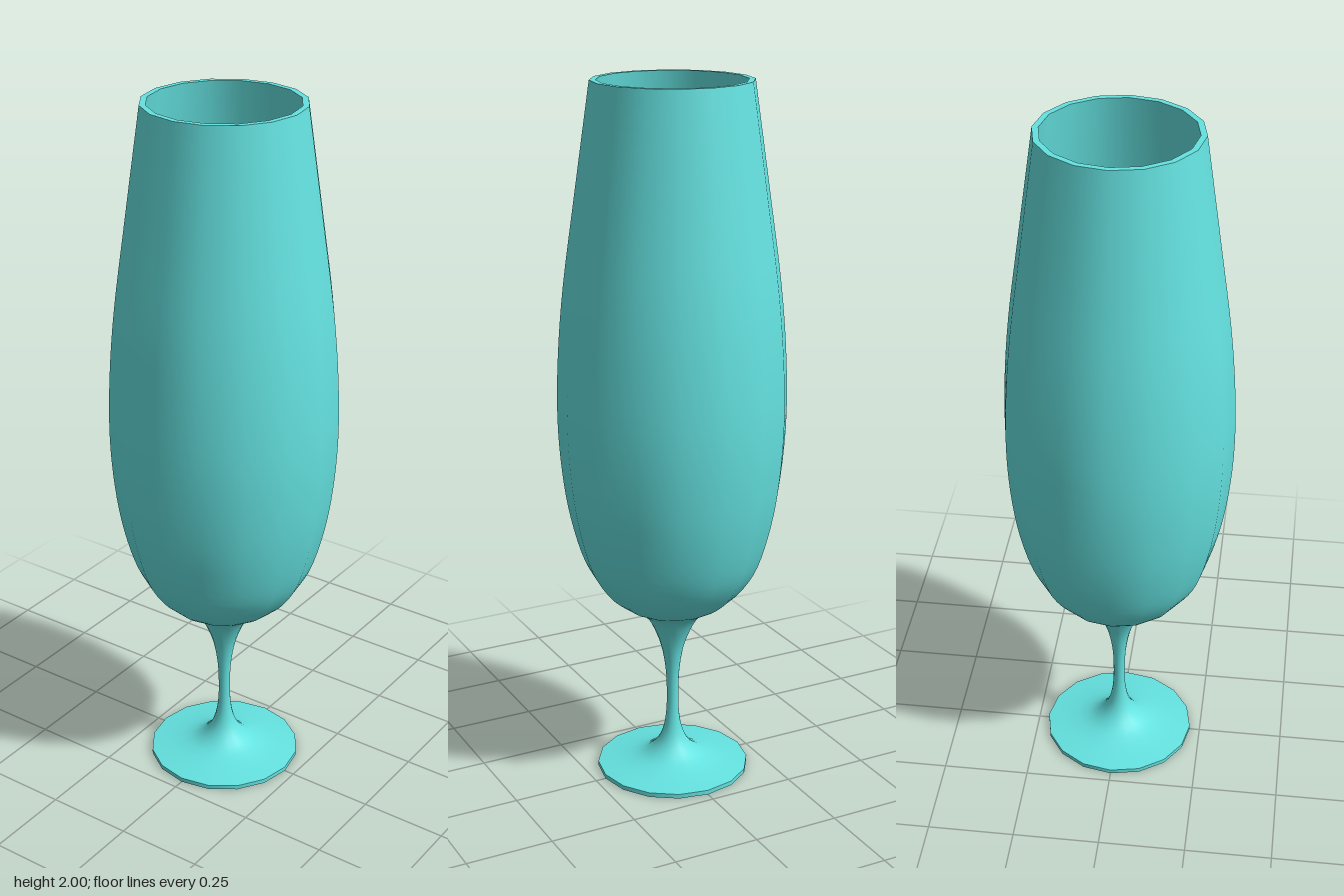
import * as THREE from 'three';

const SIDES = 16;

export function createModel() {
  const group = new THREE.Group();
  group.name = 'stemGlass';
  const glass = new THREE.MeshStandardMaterial({ color: 0x64e2e0 });
  glass.name = 'aqua glass';

  const points = (list) => list.map(([r, y]) => new THREE.Vector2(r, y));
  const curve = (list, n) => new THREE.SplineCurve(points(list)).getPoints(n);
  function turn(name, profile) {
    const mesh = new THREE.Mesh(new THREE.LatheGeometry(profile, SIDES), glass);
    mesh.name = name;
    group.add(mesh);
  }

  // Flat underside and thin edge of the foot
  turn('footBase', points([[0, 0], [0.22, 0]]));
  turn('footEdge', points([[0.22, 0], [0.22, 0.013]]));

  // One flowing outer surface: foot top, stem and bowl
  turn('footStemAndBowl', curve([
    [0.22, 0.013], [0.13, 0.026], [0.075, 0.047], [0.037, 0.09], [0.02, 0.155],
    [0.017, 0.24], [0.022, 0.32], [0.038, 0.395], [0.07, 0.465], [0.105, 0.497],
    [0.15, 0.522], [0.2, 0.568], [0.25, 0.65], [0.288, 0.78], [0.31, 0.92],
    [0.32, 1.08], [0.315, 1.26], [0.298, 1.45], [0.266, 1.68], [0.22, 2],
  ], 76));

  // Flat rim
  turn('rim', points([[0.22, 2], [0.203, 2]]));

  // Hollow inside, running from the rim down to the bowl floor
  turn('bowlInside', curve([
    [0.203, 2], [0.249, 1.68], [0.281, 1.45], [0.298, 1.26], [0.303, 1.08],
    [0.293, 0.92], [0.271, 0.78], [0.235, 0.665], [0.187, 0.585], [0.14, 0.543],
    [0.07, 0.518], [0, 0.51],
  ], 44));

  return group;
}
